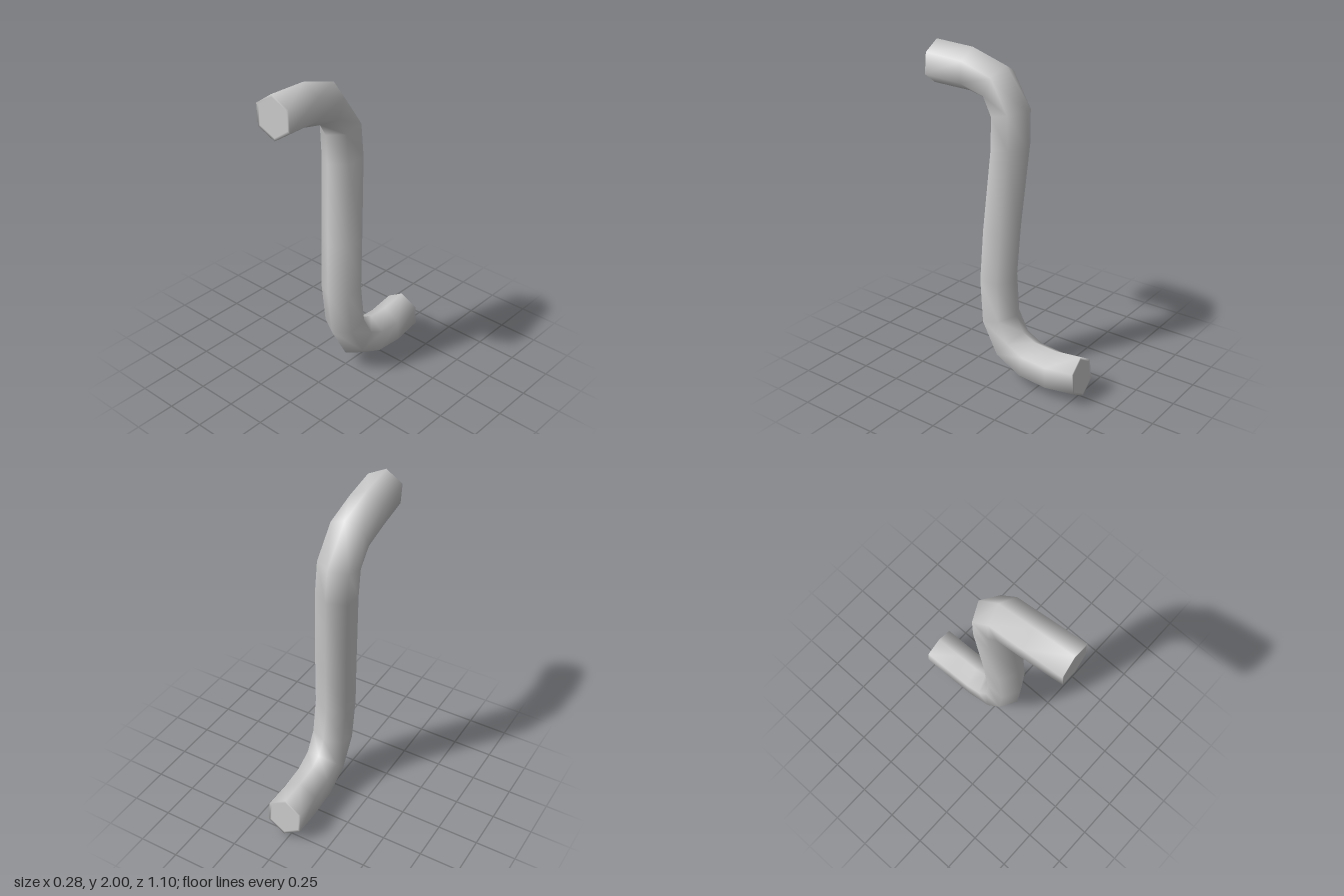
import * as THREE from 'three';

// Hexagonal cross-sections from the upper front end to the lower back end:
// centre x, lean in x, then (y, z) of the outer/back corner and of the opposite corner
const SECTIONS = [
  [-0.013, -0.010, 2.000, 0.538, 1.745, 0.545],
  [-0.035, -0.004, 1.985, 0.290, 1.730, 0.310],
  [-0.037, 0.000, 1.915, 0.055, 1.695, 0.165],
  [-0.025, 0.005, 1.680, -0.100, 1.625, 0.130],
  [-0.015, 0.003, 1.470, -0.110, 1.450, 0.130],
  [0.014, 0.000, 0.950, -0.070, 0.950, 0.170],
  [0.025, 0.000, 0.630, -0.050, 0.630, 0.185],
  [0.033, 0.000, 0.410, -0.070, 0.345, 0.160],
  [0.035, 0.000, 0.315, -0.120, 0.125, 0.040],
  [0.035, 0.000, 0.275, -0.200, 0.022, -0.150],
  [0.033, 0.000, 0.265, -0.340, 0.000, -0.350],
  [0.024, 0.000, 0.280, -0.520, 0.025, -0.545],
];
const SIDES = 6;
const HALF_WIDTH = 0.106; // flat-to-flat half width of the hexagon

function barGeometry() {
  const frames = SECTIONS.map(([x, lean, ay, az, by, bz]) => {
    const a = new THREE.Vector3(x + lean, ay, az);
    const b = new THREE.Vector3(x - lean, by, bz);
    return {
      centre: a.clone().add(b).multiplyScalar(0.5),
      up: a.clone().sub(b).multiplyScalar(0.5),
    };
  });
  const last = frames.length - 1;
  frames.forEach((f, i) => {
    const tangent = frames[Math.min(i + 1, last)].centre.clone()
      .sub(frames[Math.max(i - 1, 0)].centre);
    f.side = f.up.clone().cross(tangent).setLength(HALF_WIDTH / Math.cos(Math.PI / 6));
  });

  // End caps are a narrow inset band closed to the centre
  const rings = [
    [frames[0], 0], [frames[0], 0.87],
    ...frames.map((f) => [f, 1]),
    [frames[last], 0.87], [frames[last], 0],
  ];
  const positions = [];
  const index = [];
  rings.forEach(([f, scale], i) => {
    for (let k = 0; k < SIDES; k++) {
      const angle = (k / SIDES) * Math.PI * 2;
      const p = f.centre.clone()
        .addScaledVector(f.up, Math.cos(angle) * scale)
        .addScaledVector(f.side, Math.sin(angle) * scale);
      positions.push(p.x, p.y, p.z);
      if (i === rings.length - 1) continue;
      const a = i * SIDES + k;
      const b = i * SIDES + ((k + 1) % SIDES);
      const c = a + SIDES;
      const d = b + SIDES;
      if (i < rings.length - 2) index.push(a, c, d);
      else index.push(a, c, b);
      if (i > 0 && i < rings.length - 2) index.push(a, d, b);
    }
  });
  const geometry = new THREE.BufferGeometry();
  geometry.setAttribute('position', new THREE.Float32BufferAttribute(positions, 3));
  geometry.setIndex(index);
  geometry.computeVertexNormals();
  // The collapsed centre corners share one cap normal
  const normals = geometry.attributes.normal;
  for (const [start, from] of [[0, SIDES], [(rings.length - 1) * SIDES, (rings.length - 2) * SIDES]]) {
    const n = new THREE.Vector3();
    for (let k = 0; k < SIDES; k++) n.add(new THREE.Vector3().fromBufferAttribute(normals, from + k));
    n.normalize();
    for (let k = 0; k < SIDES; k++) normals.setXYZ(start + k, n.x, n.y, n.z);
  }
  return geometry;
}

export function createModel() {
  const group = new THREE.Group();
  group.name = 'bentBar';
  const bar = new THREE.Mesh(barGeometry(), new THREE.MeshStandardMaterial({ color: 0xcccccc }));
  bar.name = 'bar';
  group.add(bar);
  return group;
}
